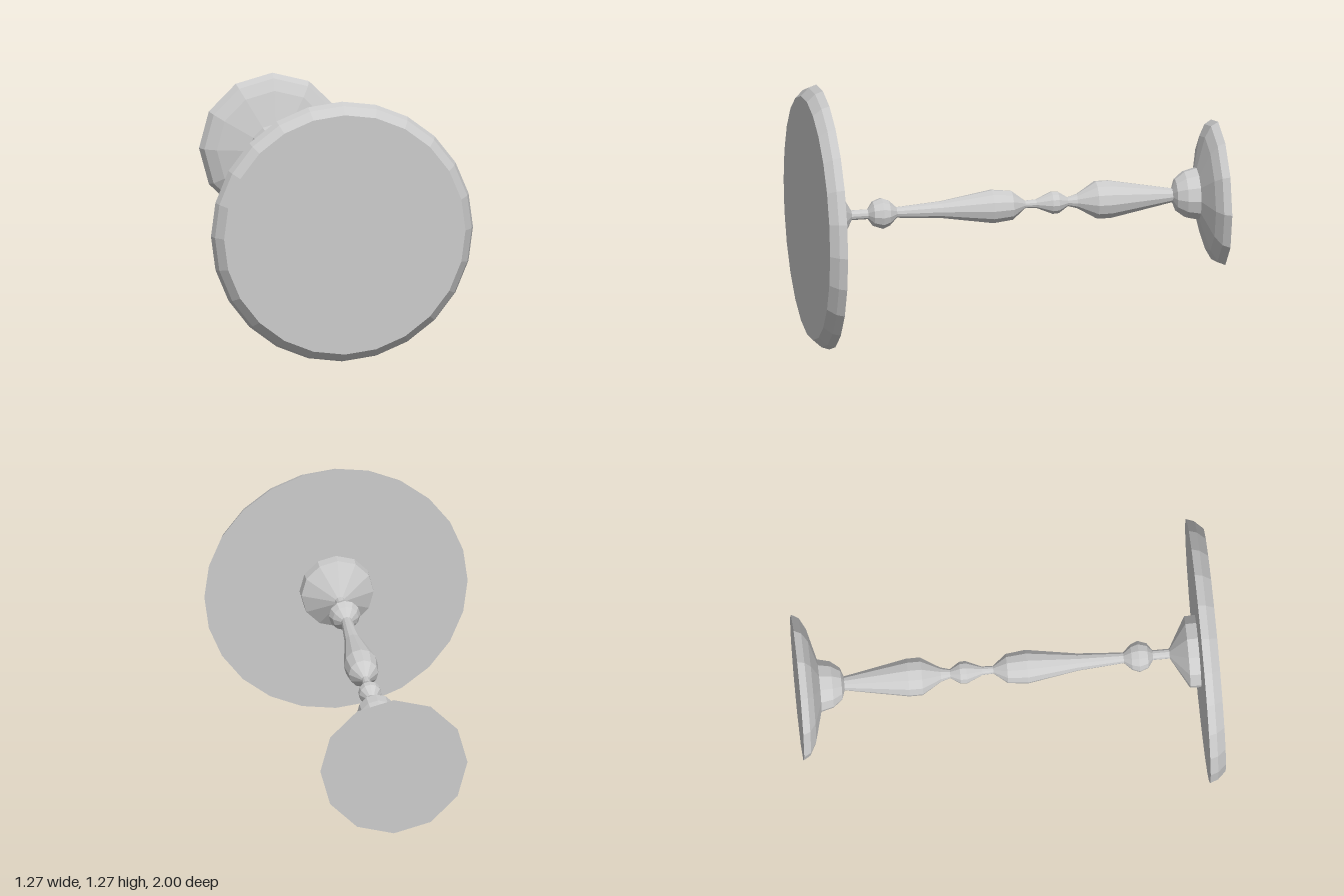
import * as THREE from 'three';

const AXIS_HEIGHT = 0.635;

export function createModel() {
  const group = new THREE.Group();
  group.name = 'pedestalTable';
  const material = new THREE.MeshStandardMaterial({ color: 0xcccccc, flatShading: true });

  // Turned part lying along z; profile rows are [z, radius] from back to front
  function addTurned(name, sides, profile) {
    const points = profile.map(([z, r]) => new THREE.Vector2(r, z));
    const geometry = new THREE.LatheGeometry(points, sides);
    geometry.rotateX(Math.PI / 2);
    geometry.translate(0, AXIS_HEIGHT, 0);
    const mesh = new THREE.Mesh(geometry, material);
    mesh.name = name;
    group.add(mesh);
  }

  // Round foot with a domed upper side and collar
  addTurned('foot', 12, [
    [-1, 0], [-1, 0.355], [-0.965, 0.335], [-0.935, 0.28], [-0.895, 0.128],
    [-0.835, 0.113], [-0.79, 0.078], [-0.775, 0.035], [-0.775, 0],
  ]);

  // Lower vase, small bead, upper vase, large bead and neck
  addTurned('column', 12, [
    [-0.78, 0.033], [-0.47, 0.092], [-0.405, 0.092], [-0.312, 0.035], [-0.267, 0.022],
    [-0.22, 0.053], [-0.19, 0.055], [-0.113, 0.021],
    [-0.06, 0.019], [0.005, 0.071], [0.1, 0.082], [0.345, 0.042], [0.565, 0.026],
    [0.602, 0.062], [0.637, 0.076], [0.68, 0.06], [0.705, 0.024], [0.79, 0.024],
  ]);

  // Flared mount under the top
  addTurned('topMount', 12, [
    [0.785, 0], [0.785, 0.024], [0.87, 0.174], [0.925, 0.176],
  ]);

  // Round top with an eased edge
  addTurned('tableTop', 24, [
    [0.922, 0], [0.922, 0.635], [0.96, 0.622], [1, 0.585], [1, 0],
  ]);

  return group;
}
